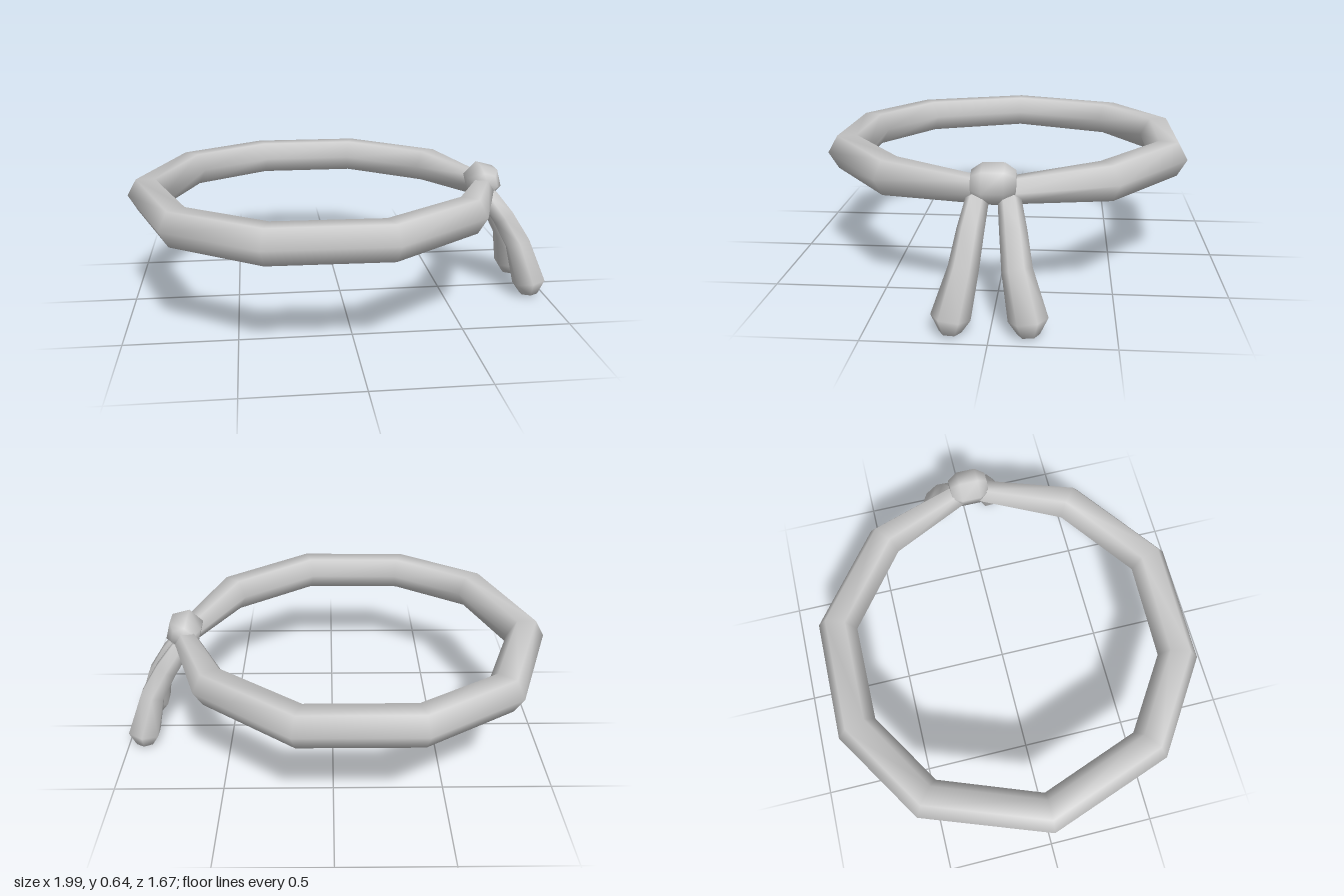
import * as THREE from 'three';

const SIDES = 6;

// Six-sided smooth tube through stations [x, y, z, radius]
function loft(name, stations, ref, phase = 0) {
  const pts = stations.map(([x, y, z]) => new THREE.Vector3(x, y, z));
  const pos = [], index = [];
  pts.forEach((p, i) => {
    // Tangent is the bisector of the neighbouring segments
    const t = new THREE.Vector3();
    if (i > 0) t.add(p.clone().sub(pts[i - 1]).normalize());
    if (i < pts.length - 1) t.add(pts[i + 1].clone().sub(p).normalize());
    t.normalize();
    const s = ref.clone().cross(t).normalize();
    const u = t.clone().cross(s);
    for (let k = 0; k < SIDES; k++) {
      const a = phase + (k / SIDES) * Math.PI * 2, r = stations[i][3];
      const v = p.clone().addScaledVector(s, Math.cos(a) * r).addScaledVector(u, Math.sin(a) * r);
      pos.push(v.x, v.y, v.z);
      if (i < pts.length - 1) {
        const A = i * SIDES + k, B = i * SIDES + ((k + 1) % SIDES);
        index.push(A, B, A + SIDES, B, B + SIDES, A + SIDES);
      }
    }
  });
  const geo = new THREE.BufferGeometry();
  geo.setAttribute('position', new THREE.Float32BufferAttribute(pos, 3));
  geo.setIndex(index);
  geo.computeVertexNormals();
  const mesh = new THREE.Mesh(geo, new THREE.MeshStandardMaterial({ color: 0xcccccc }));
  mesh.name = name;
  return mesh;
}

export function createModel() {
  const group = new THREE.Group();
  group.name = 'tiedBand';
  const up = new THREE.Vector3(0, 1, 0);

  // Band: ten-cornered loop, narrowing into the knot at both ends
  const corners = [
    [0.70, -0.02, 0.055], [0.525, -0.455, 0.088], [0.14, -0.75, 0.09], [-0.355, -0.75, 0.09],
    [-0.73, -0.515, 0.09], [-0.915, -0.015, 0.088], [-0.735, 0.49, 0.09], [-0.37, 0.735, 0.09],
    [0.125, 0.745, 0.09], [0.515, 0.46, 0.088], [0.70, 0.02, 0.055],
  ];
  group.add(loft('band', corners.map(([x, z, r]) => [x, 0.527, z, r]), up));

  // Knot: short rounded bead lying along z
  const bead = [[-0.093, 0], [-0.09, 0.055], [-0.045, 0.085], [0.045, 0.085], [0.09, 0.055], [0.093, 0]];
  group.add(loft('knot', bead.map(([z, r]) => [0.698, 0.558, z, r]), up, -0.26));

  // Two hanging tails, flaring toward blunt rounded ends
  const front = new THREE.Vector3(0, 0, 1);
  for (const side of [1, -1]) {
    const tail = [
      [0.69, 0.54, 0.055, 0.0], [0.715, 0.495, 0.065, 0.048], [0.79, 0.39, 0.085, 0.056],
      [0.865, 0.26, 0.105, 0.062], [0.918, 0.075, 0.152, 0.08],
      [0.92, 0.015, 0.154, 0.045], [0.92, 0.003, 0.155, 0],
    ].map(([x, y, z, r]) => [x, y, z * side, r]);
    group.add(loft(side > 0 ? 'frontTail' : 'backTail', tail, front, Math.PI / 6));
  }
  return group;
}
